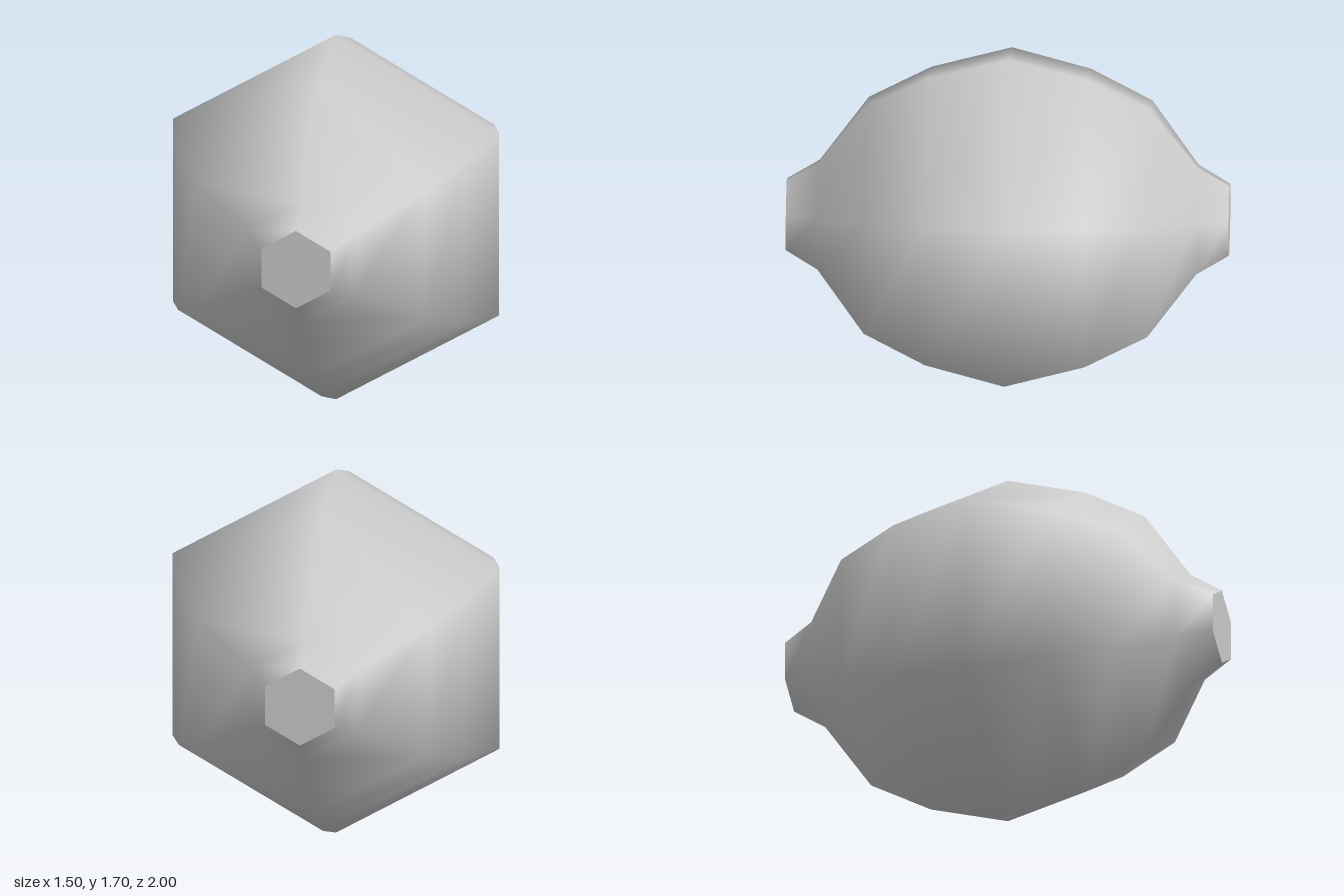
import * as THREE from 'three';

export function createModel() {
  const group = new THREE.Group();
  const grey = new THREE.MeshStandardMaterial({ color: 0xcccccc });
  grey.name = 'lightGrey';

  const sides = 6;
  const centreY = 0.852;
  const widen = 1.02; // the hexagon is slightly wider than regular
  // radius and distance from the middle, up to one tip
  const half = [[0.848, 0], [0.746, 0.36], [0.592, 0.64], [0.275, 0.855], [0.18, 1]];
  const profile = [
    ...half.slice(1).reverse().map(([r, d]) => new THREE.Vector2(r, -d)),
    ...half.map(([r, d]) => new THREE.Vector2(r, d)),
  ];

  // six-sided body lying along z, corners at top and bottom
  const bodyGeometry = new THREE.LatheGeometry(profile, sides);
  bodyGeometry.rotateX(Math.PI / 2);
  bodyGeometry.scale(widen, 1, 1);
  const body = new THREE.Mesh(bodyGeometry, grey);
  body.name = 'body';
  body.position.y = centreY;
  group.add(body);

  // flat hexagonal end caps
  for (const [name, z, turn] of [['frontCap', 1, 0], ['backCap', -1, Math.PI]]) {
    const capGeometry = new THREE.CircleGeometry(0.18, sides, Math.PI / 2);
    capGeometry.scale(widen, 1, 1);
    const cap = new THREE.Mesh(capGeometry, grey);
    cap.name = name;
    cap.position.set(0, centreY, z);
    cap.rotation.y = turn;
    group.add(cap);
  }
  return group;
}
